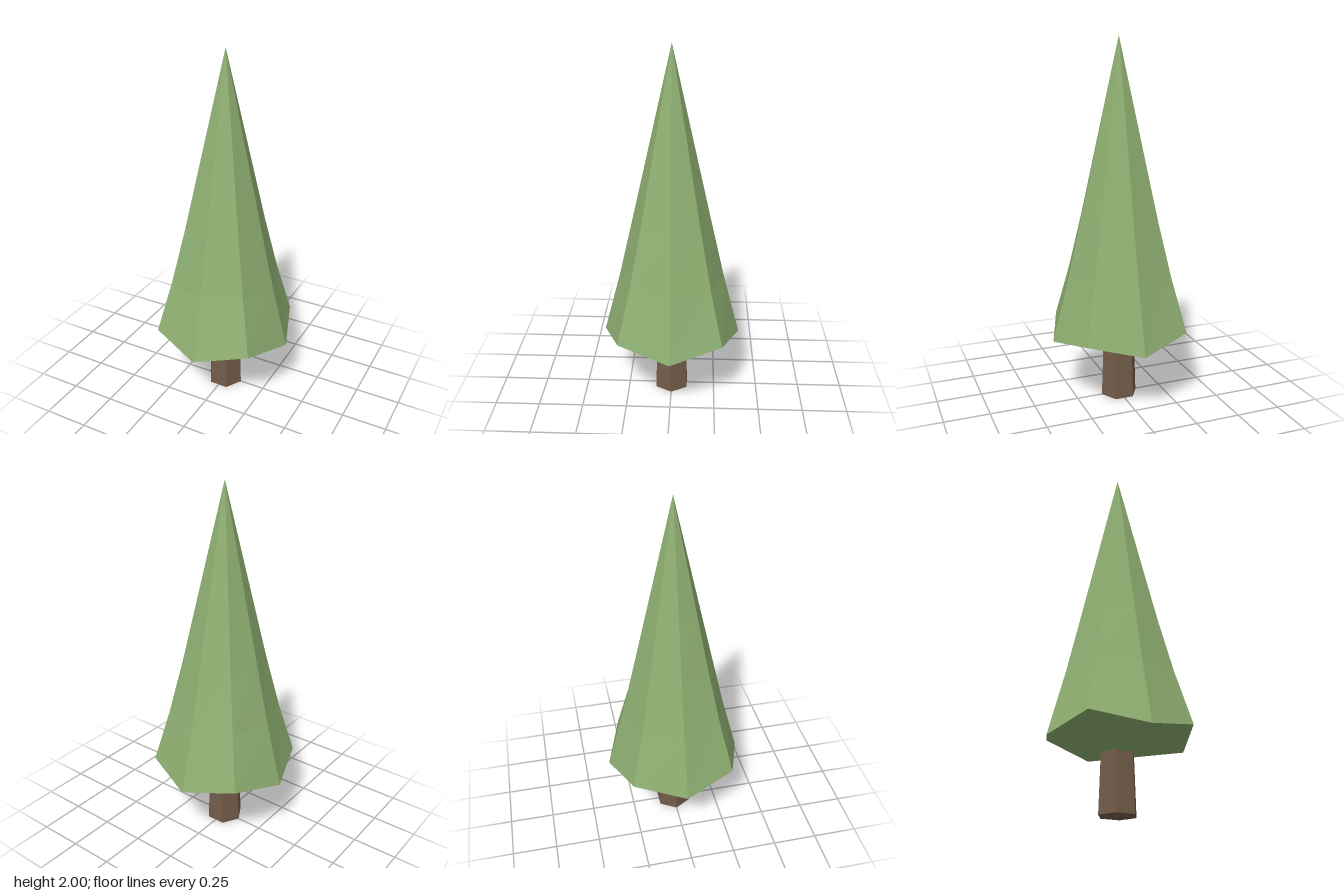
import * as THREE from 'three';

const SIDES = 8;

// Rings from the rim upward: radius and height on the axes, then on the diagonals
const RINGS = [
  [0.385, 0.365, 0.403, 0.425],
  [0.292, 0.72, 0.309, 0.73],
  [0.218, 1.04, 0.228, 1.04],
  [0.145, 1.36, 0.152, 1.36],
];

function canopyGeometry() {
  const positions = [];
  const ringPoint = (r, i) => {
    const [axisR, axisY, diagR, diagY] = RINGS[r];
    const a = (i / SIDES) * Math.PI * 2;
    const radius = i % 2 ? diagR : axisR;
    return [Math.sin(a) * radius, i % 2 ? diagY : axisY, Math.cos(a) * radius];
  };
  const tri = (a, b, c) => positions.push(...a, ...b, ...c);
  const apex = [0, 2, 0];
  const underside = [0, 0.287, 0];
  const last = RINGS.length - 1;

  for (let i = 0; i < SIDES; i++) {
    const j = i + 1;
    // Underside fan
    tri(underside, ringPoint(0, j), ringPoint(0, i));
    // Bands between rings
    for (let r = 0; r < last; r++) {
      const a = ringPoint(r, i), b = ringPoint(r, j);
      const c = ringPoint(r + 1, j), d = ringPoint(r + 1, i);
      tri(a, b, c);
      tri(a, c, d);
    }
    // Tip
    tri(ringPoint(last, i), ringPoint(last, j), apex);
  }
  const geometry = new THREE.BufferGeometry();
  geometry.setAttribute('position', new THREE.Float32BufferAttribute(positions, 3));
  geometry.computeVertexNormals();
  return geometry;
}

export function createModel() {
  const tree = new THREE.Group();
  tree.name = 'tree';

  // Faceted foliage with a drooping, scalloped rim
  const canopy = new THREE.Mesh(
    canopyGeometry(),
    new THREE.MeshStandardMaterial({ color: 0x8fb072, flatShading: true })
  );
  canopy.name = 'canopy';

  // Tapered six-sided trunk, with corners on the x axis
  const trunkGeometry = new THREE.CylinderGeometry(0.092, 0.104, 0.34, 6);
  trunkGeometry.rotateY(Math.PI / 2);
  trunkGeometry.translate(0, 0.17, 0);
  const trunk = new THREE.Mesh(
    trunkGeometry,
    new THREE.MeshStandardMaterial({ color: 0x735c49, flatShading: true })
  );
  trunk.name = 'trunk';

  tree.add(canopy, trunk);
  return tree;
}
